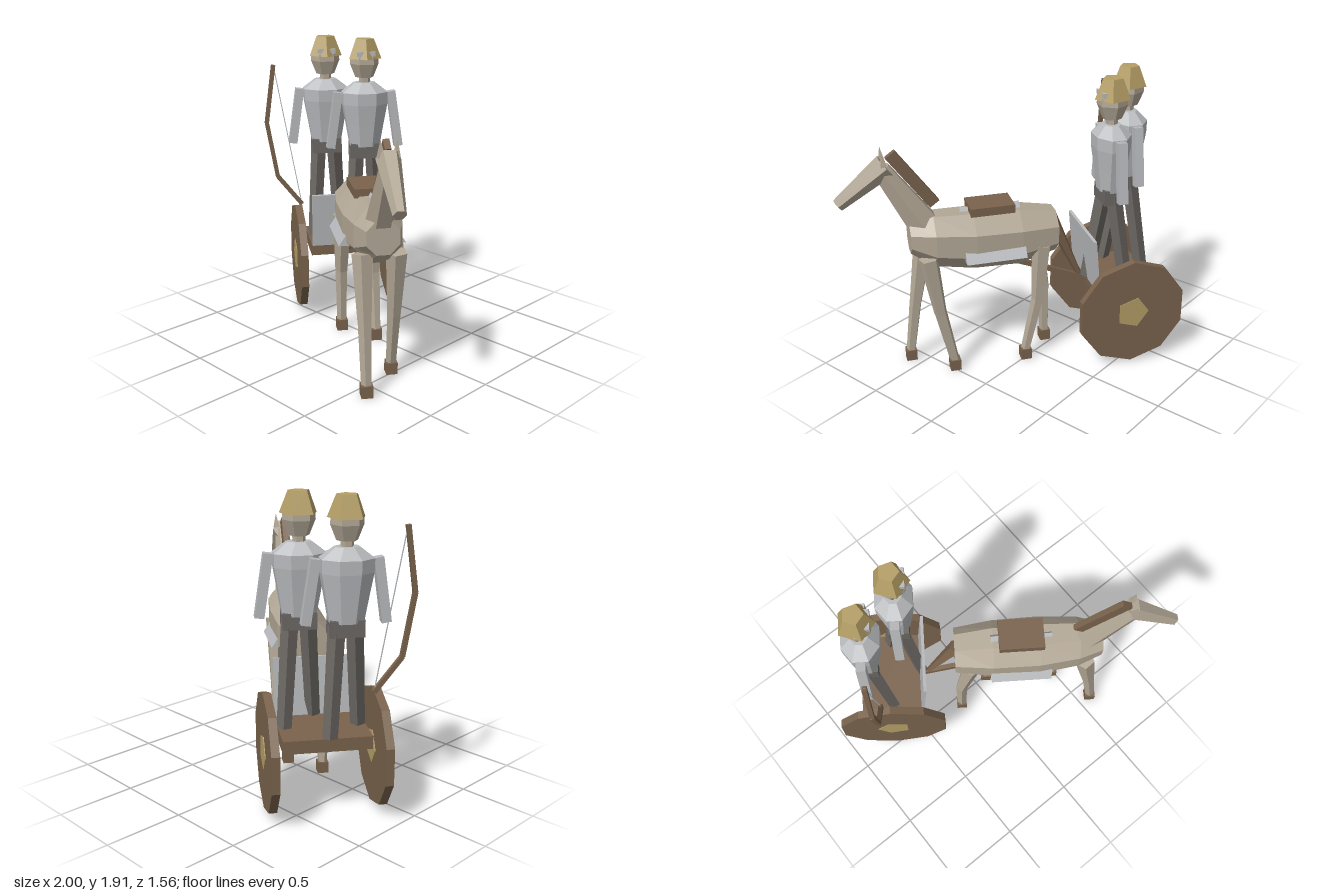
import * as THREE from 'three';

const mat = (name, color) => {
  const m = new THREE.MeshStandardMaterial({ color });
  m.name = name;
  return m;
};

export function createModel() {
  const wood = mat('brown wood', 0x7a634d);
  const hide = mat('pale hide', 0xb3a896);
  const steel = mat('light steel', 0xb9bbbe);
  const cloth = mat('dark grey cloth', 0x6c6864);
  const brass = mat('brass', 0xb59f66);

  // faceted mesh helper
  const add = (parent, name, geo, material, x = 0, y = 0, z = 0) => {
    const g = geo.index ? geo.toNonIndexed() : geo;
    g.computeVertexNormals();
    const mesh = new THREE.Mesh(g, material);
    mesh.name = name;
    mesh.position.set(x, y, z);
    parent.add(mesh);
    return mesh;
  };
  const box = (parent, name, size, pos, material) =>
    add(parent, name, new THREE.BoxGeometry(...size), material, ...pos);

  // tapered bar from point a to point b
  const limb = (parent, name, a, b, ra, rb, sides, material, flatten = 1) => {
    const A = new THREE.Vector3(...a), B = new THREE.Vector3(...b);
    const dir = B.clone().sub(A);
    const geo = new THREE.CylinderGeometry(rb, ra, dir.length(), sides);
    if (sides === 4) geo.rotateY(Math.PI / 4);
    geo.scale(1, 1, flatten);
    geo.applyQuaternion(new THREE.Quaternion().setFromUnitVectors(
      new THREE.Vector3(0, 1, 0), dir.normalize()));
    const c = A.add(B).multiplyScalar(0.5);
    return add(parent, name, geo, material, c.x, c.y, c.z);
  };
  const group = (parent, name) => {
    const g = new THREE.Group();
    g.name = name;
    parent.add(g);
    return g;
  };

  const root = new THREE.Group();
  root.name = 'horseAndChariot';
  // everything is built heading along +x, then turned
  const turned = group(root, 'turnedGroup');
  turned.rotation.y = -35 * Math.PI / 180;
  const all = group(turned, 'team');
  all.position.z = 0.05;

  // ---- chariot ----
  const chariot = group(all, 'chariot');
  box(chariot, 'floor', [0.40, 0.08, 0.53], [-0.588, 0.48, 0], wood);
  const dash = box(chariot, 'frontPanel', [0.02, 0.37, 0.52], [-0.365, 0.70, 0], steel);
  dash.rotation.z = -0.09;
  limb(chariot, 'pole', [-0.39, 0.49, 0], [0.2, 0.735, 0], 0.022, 0.022, 4, wood);
  for (const s of [-1, 1]) {
    add(chariot, 'wheel', new THREE.CylinderGeometry(0.368, 0.368, 0.05, 10).rotateX(Math.PI / 2),
      wood, -0.588, 0.382, s * 0.33);
    add(chariot, 'hub', new THREE.CylinderGeometry(0.112, 0.112, 0.058, 5, 1, false, -Math.PI / 2)
      .rotateX(Math.PI / 2), brass, -0.588, 0.382, s * 0.33);
  }

  // ---- horse ----
  const horse = group(all, 'horse');
  // barrel: [x, centre y, half height, half width]
  const rings = [
    [-0.145, 0.905, 0.15, 0.145], [0.1, 0.895, 0.205, 0.178], [0.4, 0.905, 0.205, 0.182],
    [0.65, 0.93, 0.185, 0.155], [0.8, 0.96, 0.11, 0.105],
  ];
  const barrel = new THREE.CylinderGeometry(1, 1, 4, 8, 4).rotateY(Math.PI / 8).rotateZ(-Math.PI / 2);
  const p = barrel.attributes.position;
  for (let i = 0; i < p.count; i++) {
    const [x, cy, ry, rz] = rings[Math.round(p.getX(i) + 2)];
    p.setXYZ(i, x, cy + p.getY(i) * ry, p.getZ(i) * rz);
  }
  add(horse, 'body', barrel, hide);
  limb(horse, 'neck', [0.67, 0.98, 0], [0.945, 1.43, 0], 0.115, 0.062, 6, hide, 0.8);
  limb(horse, 'head', [0.915, 1.45, 0], [1.215, 1.225, 0], 0.078, 0.042, 6, hide, 0.9);
  const mane = limb(horse, 'mane', [0.63, 1.17, 0], [0.885, 1.52, 0], 0.052, 0.052, 4, wood, 0.5);
  mane.name = 'mane';
  limb(horse, 'tail', [-0.13, 0.97, 0], [-0.33, 0.53, 0], 0.05, 0.018, 5, wood);
  for (const s of [-1, 1])
    limb(horse, 'ear', [0.93, 1.46, s * 0.042], [0.937, 1.555, s * 0.046], 0.028, 0.001, 4, hide);

  // legs in a walking pose: [hip x, knee x, hoof x, side]
  for (const [hip, knee, hoof, s] of [
    [0.70, 0.77, 0.823, 1], [0.70, 0.64, 0.561, -1],
    [-0.04, -0.11, -0.115, 1], [-0.04, -0.01, 0.075, -1],
  ]) {
    const z = s * 0.1;
    limb(horse, 'upperLeg', [hip, 0.84, z], [knee, 0.43, z], 0.065, 0.042, 5, hide);
    limb(horse, 'lowerLeg', [knee, 0.44, z], [hoof, 0.06, z], 0.042, 0.032, 5, hide);
    box(horse, 'hoof', [0.07, 0.075, 0.07], [hoof, 0.0375, z], wood);
  }

  // saddle over a tent-shaped blanket
  box(horse, 'saddle', [0.285, 0.055, 0.2], [0.278, 1.112, 0], wood);
  add(horse, 'blanket', new THREE.CylinderGeometry(0.207, 0.207, 0.39, 3, 1, false, -Math.PI / 2)
    .rotateZ(-Math.PI / 2).scale(1, 1, 1.14), steel, 0.28, 0.913, 0);

  // ---- two riders ----
  const profile = [[0, 1.19], [0.1, 1.19], [0.125, 1.34], [0.15, 1.48], [0.152, 1.56], [0.07, 1.625], [0, 1.625]];
  const skull = [[0, 1.655], [0.062, 1.66], [0.098, 1.75], [0.095, 1.80], [0, 1.84]];
  const lathe = (pts, n) => new THREE.LatheGeometry(pts.map(q => new THREE.Vector2(...q)), n);
  for (const [x, z] of [[-0.68, 0.115], [-0.48, -0.122]]) {
    const man = group(all, 'rider');
    man.position.set(x, 0, z);
    add(man, 'torso', lathe(profile, 8).rotateY(Math.PI / 8).scale(0.8, 1, 1.08), steel);
    box(man, 'belt', [0.13, 0.1, 0.2], [0, 1.16, 0], cloth);
    limb(man, 'neck', [0, 1.6, 0], [0, 1.68, 0], 0.038, 0.038, 6, hide);
    add(man, 'head', lathe(skull, 6), hide);
    add(man, 'helmet', new THREE.CylinderGeometry(0.064, 0.115, 0.13, 5, 1, false, Math.PI / 2),
      brass, 0, 1.85, 0);
    box(man, 'helmetBand', [0.03, 0.03, 0.12], [0.068, 1.82, 0], steel);
    for (const s of [-1, 1]) {
      limb(man, 'arm', [0, 1.56, s * 0.18], [0, 1.18, s * 0.235], 0.04, 0.04, 4, steel);
      limb(man, 'leg', [0.01 * s, 1.17, s * 0.055], [s * 0.1, 0.52, s * 0.105], 0.052, 0.045, 4, cloth);
    }
  }

  // ---- bow ----
  const bow = group(all, 'bow');
  const pts = [[1.73, 0.475], [1.335, 0.53], [0.95, 0.465], [0.74, 0.3]].map(([y, z]) => [-0.645, y, z]);
  for (let i = 0; i < 3; i++) limb(bow, 'bowLimb', pts[i], pts[i + 1], 0.02, 0.02, 4, wood);
  limb(bow, 'bowString', pts[0], pts[3], 0.004, 0.004, 4, steel);

  return root;
}
